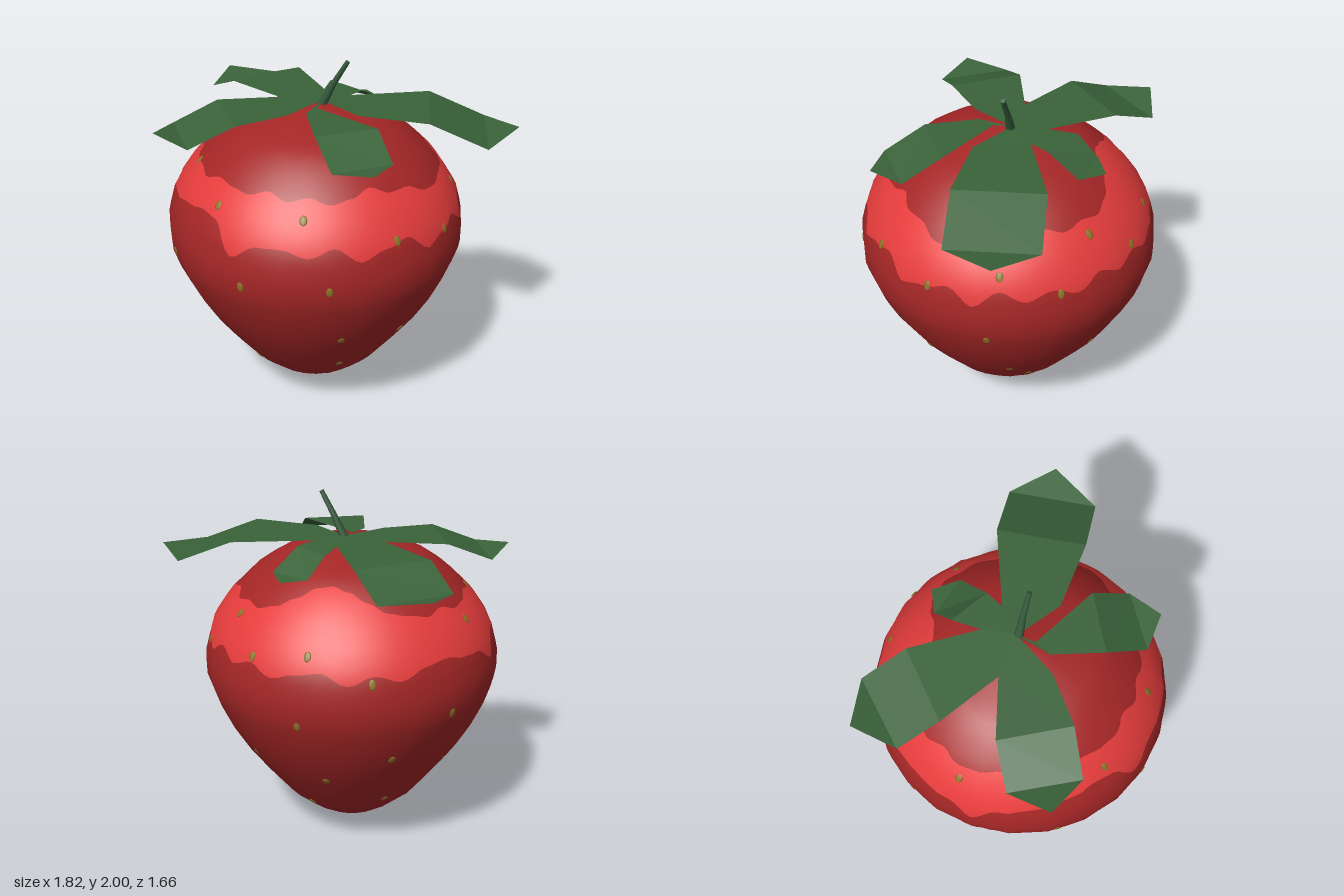
import * as THREE from 'three';

const mat = (name, color, side = THREE.FrontSide) => {
  const m = new THREE.MeshStandardMaterial({ color, side });
  m.name = name;
  return m;
};
const rad = THREE.MathUtils.degToRad;

// Fruit profile: [height, radius]
const PROFILE = [[0, 0], [0.06, 0.13], [0.14, 0.26], [0.26, 0.4], [0.41, 0.52], [0.56, 0.63], [0.71, 0.72],
  [0.86, 0.79], [0.98, 0.83], [1.12, 0.83], [1.27, 0.79], [1.42, 0.69], [1.55, 0.56], [1.64, 0.43],
  [1.7, 0.3], [1.735, 0.12], [1.745, 0]];
const TOP = 1.745, CENTRE_X = 0.03;

function radiusAt(y) {
  const h = THREE.MathUtils.clamp(y, 0, TOP);
  const i = Math.max(1, PROFILE.findIndex(p => p[0] >= h));
  const [y0, r0] = PROFILE[i - 1], [y1, r1] = PROFILE[i];
  return r0 + (r1 - r0) * (h - y0) / (y1 - y0);
}

// Point on the 24-sided fruit; angle 0 is the front, 90 the +x side
function surfacePoint(deg, y) {
  const local = ((deg % 15) + 15) % 15 - 7.5;
  const r = radiusAt(y) * Math.cos(rad(7.5)) / Math.cos(rad(local));
  return new THREE.Vector3(CENTRE_X + r * Math.sin(rad(deg)), y, r * Math.cos(rad(deg)));
}

function surfaceNormal(deg, y) {
  const a = Math.max(0, y - 0.08), b = Math.min(TOP, y + 0.08);
  const slope = (radiusAt(b) - radiusAt(a)) / (b - a);
  return new THREE.Vector3(Math.sin(rad(deg)), -slope, Math.cos(rad(deg))).normalize();
}

// Wavy edges of the bright band, one height every 10 degrees
const LOWER = [1.32, 1.17, 1.25, 1.26, 1.22, 1.27, 1.19, 1.23, 1.26, 1.16, 1.19, 1.23, 1.15, 1.24, 1.18, 1.23, 1.18, 1.25,
  1.2, 1.24, 1.19, 1.23, 1.25, 1.19, 1.24, 1.2, 1.25, 1.27, 1.24, 1.23, 1.15, 1.26, 1.28, 1.29, 1.31, 1.33];
const UPPER = [1.47, 1.46, 1.49, 1.46, 1.48, 1.45, 1.47, 1.5, 1.46, 1.46, 1.41, 1.4, 1.42, 1.41, 1.46, 1.49, 1.46, 1.48,
  1.47, 1.5, 1.55, 1.6, 1.61, 1.59, 1.55, 1.5, 1.48, 1.46, 1.48, 1.45, 1.46, 1.48, 1.46, 1.47, 1.45, 1.48];

function edge(list, deg) {
  const i = Math.floor(deg / 10) % 36, t = (deg % 10) / 10;
  return THREE.MathUtils.lerp(list[i], list[(i + 1) % 36], t * t * (3 - 2 * t));
}

// Strip of fruit skin between two edge heights
function skin(bottom, top, rows, ease) {
  const cols = 144, pos = [], nor = [], idx = [];
  for (let j = 0; j <= rows; j++) {
    for (let i = 0; i <= cols; i++) {
      const deg = i * 360 / cols;
      const y = THREE.MathUtils.lerp(bottom(deg), top(deg), ease(j / rows));
      pos.push(...surfacePoint(deg, y).toArray());
      nor.push(...surfaceNormal(deg, y).toArray());
      if (i < cols && j < rows) {
        const a = j * (cols + 1) + i, b = a + cols + 1;
        idx.push(a, a + 1, b + 1, a, b + 1, b);
      }
    }
  }
  const g = new THREE.BufferGeometry();
  g.setAttribute('position', new THREE.Float32BufferAttribute(pos, 3));
  g.setAttribute('normal', new THREE.Float32BufferAttribute(nor, 3));
  g.setIndex(idx);
  return g;
}

// Leaf outlines as [x, z]: base, middle and outer on one side, tip, then outer, middle and base on the other
const LEAVES = [
  { low: 1.635, tip: 1.67, pts: [[-0.08, -0.19], [-0.44, -0.36], [-0.7, -0.42], [-0.91, -0.24], [-0.8, 0], [-0.56, 0.06], [-0.18, 0.07]] },
  { low: 1.64, tip: 1.675, pts: [[-0.18, 0.07], [-0.41, 0.32], [-0.53, 0.54], [-0.43, 0.77], [-0.19, 0.74], [-0.06, 0.52], [0.04, 0.24]] },
  { low: 1.63, tip: 1.64, pts: [[0.1, 0.15], [0.33, 0.33], [0.54, 0.43], [0.73, 0.33], [0.69, 0.13], [0.5, 0.03], [0.09, 0.05]] },
  { low: 1.61, tip: 1.64, pts: [[0.32, -0.02], [0.66, -0.2], [0.91, -0.39], [0.89, -0.7], [0.61, -0.77], [0.36, -0.58], [0.09, -0.22]] },
  { low: 1.64, tip: 1.63, pts: [[0.09, -0.2], [0.08, -0.33], [0.05, -0.52], [-0.1, -0.58], [-0.18, -0.46], [-0.16, -0.33], [-0.08, -0.19]] },
];

function leafGeometry({ low, tip, pts }) {
  const heights = [1.748, 1.742, low, tip, low, 1.742, 1.748];
  const verts = pts.map(([x, z], i) => [x, heights[i], z]);
  verts.push([0.04, 1.755, -0.04]);
  const g = new THREE.BufferGeometry();
  g.setAttribute('position', new THREE.Float32BufferAttribute(verts.flat(), 3));
  g.setIndex([7, 0, 6, 0, 1, 5, 0, 5, 6, 1, 2, 4, 1, 4, 5, 2, 3, 4]);
  const flat = g.toNonIndexed();
  flat.computeVertexNormals();
  return flat;
}

// Seeds as [angle, height]
const SEEDS = [[-37, 1.46], [-2, 1.38], [38, 1.39], [-26, 0.99], [15, 1.02], [48, 1.04], [-12, 0.26], [55, 0.64],
  [60, 0.35], [75, 1.26], [102, 1.2], [130, 1.31], [125, 0.91], [90, 0.58], [134, 0.5], [112, 0.24], [153, 1.2],
  [211, 0.95], [272, 0.96], [249, 0.71], [178, 0.61], [218, 0.53], [289, 0.53], [256, 0.32], [197, 0.26],
  [148, 0.34], [190, 1.27], [214, 1.32], [239, 1.2], [292, 1.39], [171, 1.42]];

export function createModel() {
  const root = new THREE.Group();
  root.name = 'strawberry';
  const darkRed = mat('dark red skin', 0xa52626);
  const brightRed = mat('bright red band', 0xe63c3c);
  const leafGreen = mat('leaf green', 0x3a633a, THREE.DoubleSide);
  const stemGreen = mat('stem green', 0x33573a);
  const seedOlive = mat('seed olive', 0x8c7526);
  const add = (name, geometry, material, parent = root) => {
    const m = new THREE.Mesh(geometry, material);
    m.name = name;
    parent.add(m);
    return m;
  };

  // Fruit
  const lower = d => edge(LOWER, d), upper = d => edge(UPPER, d);
  add('lowerFruit', skin(() => 0, lower, 24, t => t), darkRed);
  add('brightBand', skin(lower, upper, 5, t => t), brightRed);
  add('upperFruit', skin(upper, () => TOP, 12, t => Math.sin(t * Math.PI / 2)), darkRed);

  // Seeds lying flat on the skin
  const seeds = new THREE.Group();
  seeds.name = 'seeds';
  root.add(seeds);
  const seedShape = new THREE.SphereGeometry(1, 8, 6).scale(0.02, 0.028, 0.005);
  for (const [deg, y] of SEEDS) {
    const seed = add('seed', seedShape, seedOlive, seeds);
    const n = surfaceNormal(deg, y);
    seed.position.copy(surfacePoint(deg, y));
    seed.lookAt(seed.position.clone().add(n));
  }

  // Leaves
  const crown = new THREE.Group();
  crown.name = 'leafCrown';
  root.add(crown);
  LEAVES.forEach(leaf => add('leaf', leafGeometry(leaf), leafGreen, crown));

  // Tapered stem in two slightly bent pieces
  const stem = new THREE.Group();
  stem.name = 'stem';
  root.add(stem);
  const joints = [[0.045, 1.735, -0.035, 0.026], [0.1, 1.86, -0.065, 0.017], [0.172, 1.993, -0.098, 0.013]];
  for (let i = 0; i < 2; i++) {
    const a = new THREE.Vector3(...joints[i]), b = new THREE.Vector3(...joints[i + 1]);
    const dir = b.clone().sub(a);
    const piece = add('stemPiece', new THREE.CylinderGeometry(joints[i + 1][3], joints[i][3], dir.length(), 8), stemGreen, stem);
    piece.position.copy(a).add(b).multiplyScalar(0.5);
    piece.quaternion.setFromUnitVectors(new THREE.Vector3(0, 1, 0), dir.normalize());
  }
  return root;
}
